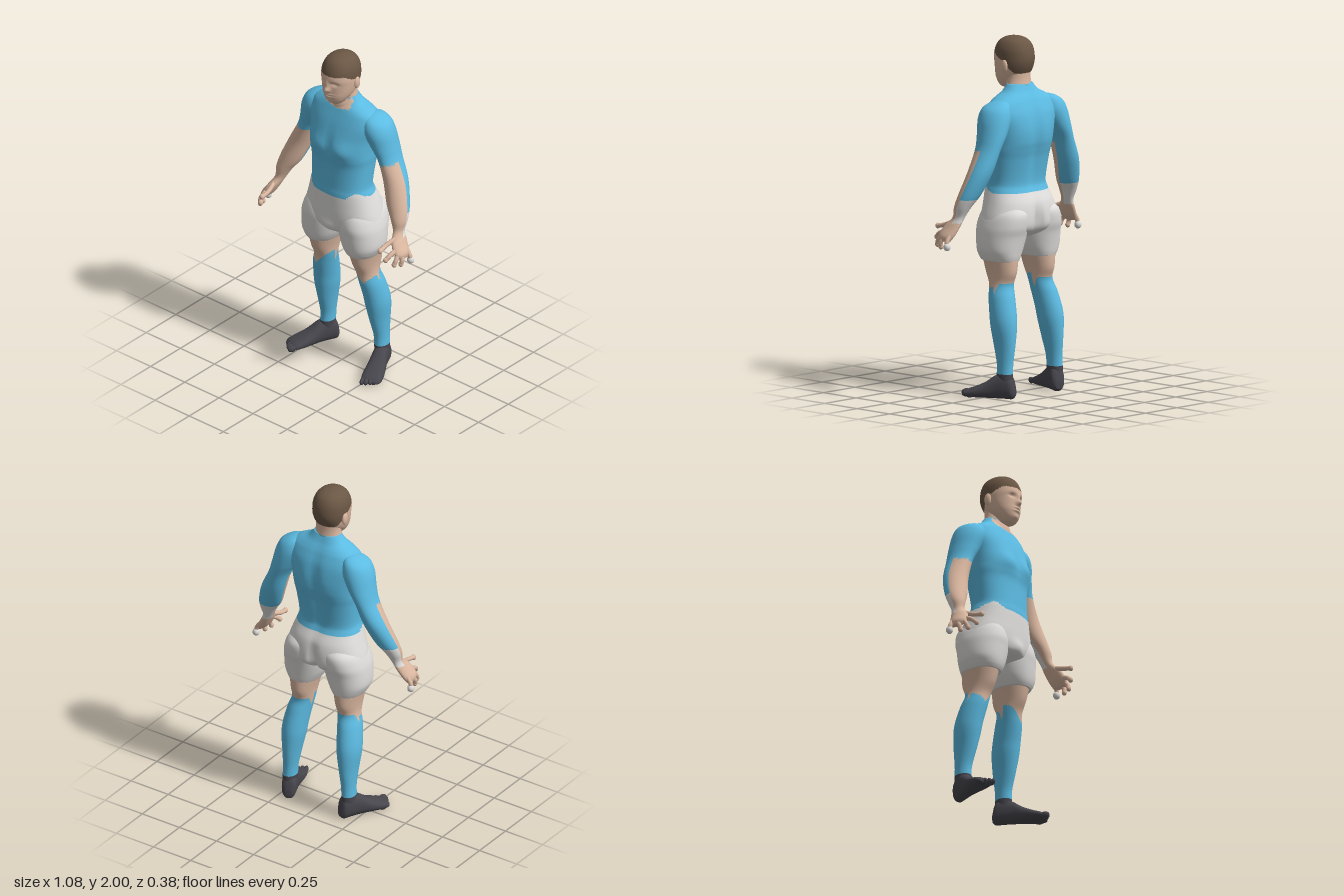
import * as THREE from 'three';

const material = (name, color) => Object.assign(new THREE.MeshStandardMaterial({ color }), { name });
const blue = material('sky blue kit', 0x5cbbe2);
const white = material('white shorts', 0xdedddb);
const skin = material('skin', 0xdab7a0);
const brown = material('brown hair', 0x6b5745);
const dark = material('dark boots', 0x47464d);

const bump = (v, centre, width) => Math.exp(-(((v - centre) / width) ** 2));

// Catmull-Rom blend of the cross-section rows
function blend(rows, t) {
  const i = Math.min(Math.floor(t), rows.length - 2), u = t - i;
  const at = k => rows[Math.max(0, Math.min(rows.length - 1, k))];
  const [p, q, r, s] = [at(i - 1), at(i), at(i + 1), at(i + 2)];
  return q.map((b, k) => b + 0.5 * u * (r[k] - p[k] + u * (2 * p[k] - 5 * b + 4 * r[k] - s[k]
    + u * (3 * (b - r[k]) + s[k] - p[k]))));
}

// Closed loft through rows [y, centreX, halfWidth, frontZ, backZ], listed from the top down.
// paint(x, y, z, front) picks a material for each face; shape(x, y, z) returns a shift in z.
function loft(name, rows, mats, { paint = () => 0, shape = () => 0, side = 1, power = 2, steps = 6, segs = 48 } = {}) {
  const pos = [], rings = (rows.length - 1) * steps, buckets = mats.map(() => []);
  const soft = v => Math.sign(v) * Math.abs(v) ** (2 / power);
  for (let i = 0; i <= rings; i++) {
    const [y, cx, w, f, b] = blend(rows, i / steps);
    for (let j = 0; j < segs; j++) {
      const a = j / segs * Math.PI * 2;
      const x = cx + w * soft(Math.cos(a)), z = (f + b) / 2 + (f - b) / 2 * soft(Math.sin(a));
      pos.push(side * x, y, z + shape(x, y, z));
    }
  }
  for (const row of [rows[0], rows[rows.length - 1]]) pos.push(side * row[1], row[0], (row[3] + row[4]) / 2);
  const face = (a, b, c, j) => {
    const mid = k => (pos[a * 3 + k] + pos[b * 3 + k] + pos[c * 3 + k]) / 3;
    const m = paint(side * mid(0), mid(1), mid(2), Math.sin((j + 0.5) / segs * Math.PI * 2));
    buckets[m].push(...(side > 0 ? [a, b, c] : [a, c, b]));
  };
  const top = (rings + 1) * segs;
  for (let j = 0; j < segs; j++) {
    const k = (j + 1) % segs, last = rings * segs;
    face(top, k, j, j);
    face(top + 1, last + j, last + k, j);
    for (let i = 0; i < last; i += segs) {
      face(i + j, i + k, i + segs + j, j);
      face(i + k, i + segs + k, i + segs + j, j);
    }
  }
  const geo = new THREE.BufferGeometry();
  geo.setAttribute('position', new THREE.Float32BufferAttribute(pos, 3));
  geo.setIndex(buckets.flat());
  let start = 0;
  buckets.forEach((list, m) => { geo.addGroup(start, list.length, m); start += list.length; });
  geo.computeVertexNormals();
  const mesh = new THREE.Mesh(geo, mats);
  mesh.name = name;
  return mesh;
}

function ball(name, mat, p, s) {
  const mesh = new THREE.Mesh(new THREE.SphereGeometry(1, 16, 12), mat);
  mesh.position.set(...p);
  mesh.scale.set(...s);
  mesh.name = name;
  return mesh;
}

function buildTorso() {
  const rows = [
    [1.74, 0, 0.08, 0.02, -0.085], [1.70, 0, 0.115, 0.035, -0.105], [1.67, 0, 0.175, 0.05, -0.125],
    [1.64, 0, 0.215, 0.063, -0.142], [1.58, 0, 0.23, 0.088, -0.167], [1.50, 0, 0.212, 0.115, -0.182],
    [1.43, 0, 0.203, 0.13, -0.18], [1.38, 0, 0.2, 0.128, -0.168], [1.32, 0, 0.192, 0.12, -0.152],
    [1.20, 0, 0.183, 0.123, -0.132], [1.15, 0, 0.193, 0.128, -0.14], [1.08, 0, 0.215, 0.13, -0.174],
    [1.00, 0, 0.24, 0.13, -0.187], [0.94, 0, 0.247, 0.122, -0.178], [0.90, 0, 0.18, 0.1, -0.13],
    [0.87, 0, 0.05, 0.03, -0.05]];
  return loft('torso', rows, [blue, white, skin], {
    power: 2.35, segs: 72,
    paint: (x, y, z) => {
      if (y < 1.14 + (z > 0 ? 0.035 * bump(Math.abs(x), 0.16, 0.03) : 0)) return 1;
      return y > 1.665 + 0.15 * Math.abs(x) && Math.abs(x) < 0.085 && z > 0 ? 2 : 0;
    },
    // chest, groin, spine groove and seat
    shape: (x, y, z) => z > 0
      ? 0.013 * bump(Math.abs(x), 0.09, 0.06) * bump(y, 1.44, 0.05) - 0.008 * bump(x, 0, 0.02) * bump(y, 1.45, 0.1)
        + 0.018 * bump(x, 0, 0.045) * bump(y, 0.93, 0.04)
      : 0.022 * bump(x, 0, 0.035) * bump(y, 1.4, 0.22) + 0.04 * bump(x, 0, 0.022) * bump(y, 0.96, 0.09),
  });
}

function buildHead() {
  const head = new THREE.Group();
  head.name = 'head';
  const skull = [
    [2.0, 0, 0.008, 0.018, -0.008], [1.992, 0, 0.045, 0.058, -0.048], [1.97, 0, 0.076, 0.094, -0.084],
    [1.93, 0, 0.095, 0.118, -0.105], [1.88, 0, 0.1, 0.128, -0.112], [1.84, 0, 0.098, 0.122, -0.105],
    [1.80, 0, 0.091, 0.12, -0.086], [1.77, 0, 0.081, 0.118, -0.06], [1.74, 0, 0.064, 0.109, -0.02],
    [1.715, 0, 0.042, 0.092, 0.01], [1.705, 0, 0.015, 0.07, 0.035]];
  head.add(loft('skull and face', skull, [skin, brown], {
    segs: 96, steps: 9, power: 2.15,
    paint: (x, y, z) => +(y > (z > 0.01 ? 1.87 + 0.035 * Math.min(1, (z - 0.01) / 0.07) : Math.max(1.8, 1.87 + 1.2 * z))),
    // nose, eye sockets, lips and chin
    shape: (x, y, z) => z < 0.04 ? 0
      : 0.026 * bump(x, 0, 0.016) * bump(y, 1.818, 0.018) + 0.012 * bump(x, 0, 0.012) * bump(y, 1.85, 0.02)
        - 0.012 * bump(Math.abs(x), 0.04, 0.02) * bump(y, 1.857, 0.012)
        + 0.007 * bump(x, 0, 0.028) * (bump(y, 1.788, 0.006) + bump(y, 1.771, 0.006))
        + 0.006 * bump(x, 0, 0.025) * bump(y, 1.738, 0.014),
  }));
  head.add(loft('neck', [
    [1.82, 0, 0.075, 0.03, -0.085], [1.77, 0, 0.074, 0.035, -0.084], [1.73, 0, 0.08, 0.036, -0.088],
    [1.69, 0, 0.09, 0.048, -0.095], [1.62, 0, 0.1, 0.055, -0.1]], [skin, blue],
  { paint: (x, y, z) => +(y < 1.735 && z < 0.015) }));
  for (const s of [1, -1]) head.add(ball('ear', skin, [s * 0.1, 1.84, -0.012], [0.012, 0.036, 0.022]));
  return head;
}

function buildLeg(side) {
  const leg = new THREE.Group();
  leg.name = side > 0 ? 'leftLeg' : 'rightLeg';
  leg.add(loft('shorts leg', [
    [1.08, 0.11, 0.06, 0.06, -0.13], [1.03, 0.12, 0.105, 0.105, -0.18], [0.96, 0.131, 0.121, 0.124, -0.183],
    [0.90, 0.135, 0.126, 0.12, -0.167], [0.83, 0.144, 0.118, 0.112, -0.154], [0.79, 0.146, 0.102, 0.103, -0.147],
    [0.765, 0.146, 0.088, 0.09, -0.14]], [white], { side, power: 2.2 }));
  leg.add(loft('thigh and sock', [
    [0.80, 0.146, 0.088, 0.09, -0.142], [0.70, 0.149, 0.068, 0.064, -0.138], [0.63, 0.153, 0.063, 0.032, -0.116],
    [0.56, 0.168, 0.067, 0.021, -0.138], [0.47, 0.181, 0.068, 0.002, -0.163], [0.40, 0.186, 0.065, -0.01, -0.172],
    [0.30, 0.19, 0.05, -0.032, -0.17], [0.20, 0.195, 0.04, -0.058, -0.161], [0.13, 0.198, 0.039, -0.06, -0.161],
    [0.08, 0.198, 0.039, -0.06, -0.161]], [skin, blue, dark], {
    side,
    paint: (x, y, z, front) => y < 0.14 ? 2 : +(y < (front > 0 ? 0.575 + Math.abs(x - 0.175) : 0.64 - 0.05 * bump(front, 0, 0.3))),
  }));
  // The foot is lofted from toe to heel, then laid down and turned outward
  const foot = new THREE.Group();
  foot.name = 'boot';
  const sole = loft('boot body', [
    [0.25, 0, 0.035, -0.008, -0.026], [0.23, 0, 0.056, -0.002, -0.043], [0.18, 0, 0.06, 0, -0.062],
    [0.12, 0, 0.053, 0, -0.09], [0.06, 0, 0.045, 0, -0.13], [0, 0, 0.043, 0, -0.145],
    [-0.035, 0, 0.038, 0, -0.12], [-0.052, 0, 0.018, -0.015, -0.06]], [dark], { power: 2.3 });
  sole.geometry.rotateX(Math.PI / 2);
  foot.add(sole);
  for (let i = 0; i < 5; i++) {
    foot.add(ball('toe', dark, [side * (-0.044 + i * 0.022), 0.02, 0.25 - i * i * 0.003], [0.013, 0.018, 0.025]));
  }
  foot.position.set(side * 0.195, 0, -0.12);
  foot.rotation.y = side * 0.42;
  leg.add(foot);
  return leg;
}

function buildArm(side) {
  const arm = new THREE.Group();
  arm.name = side > 0 ? 'leftArm' : 'rightArm';
  arm.add(loft('shoulder and arm', [
    [1.662, 0.18, 0.015, -0.04, -0.08], [1.65, 0.19, 0.045, 0, -0.115], [1.62, 0.208, 0.075, 0.03, -0.14],
    [1.565, 0.224, 0.086, 0.042, -0.155], [1.48, 0.256, 0.073, 0.025, -0.158], [1.40, 0.292, 0.06, 0.01, -0.15],
    [1.28, 0.342, 0.069, 0.012, -0.132], [1.16, 0.388, 0.067, 0.035, -0.088], [1.09, 0.418, 0.049, 0.048, -0.05],
    [1.03, 0.432, 0.03, 0.055, -0.02], [0.98, 0.456, 0.03, 0.098, -0.01], [0.93, 0.485, 0.031, 0.112, 0.005],
    [0.90, 0.5, 0.016, 0.095, 0.02]], [blue, skin, white], {
    side,
    paint: (x, y, z, front) => {
      if (front > 0.05) return y > 1.385 + 0.15 * (x - 0.29) ? 0 : 1;
      return y > 1.13 ? 0 : y > 1.0 ? 2 : 1;
    },
  }));
  // Thumb and fingers: bent tubes with rounded tips
  const fingers = [
    ['thumb', [0.445, 1.0, 0.06], [0.43, 0.975, 0.13], [0.432, 0.965, 0.178]],
    ['index finger', [0.475, 0.95, 0.09], [0.468, 0.93, 0.135], [0.458, 0.908, 0.16]],
    ['middle finger', [0.488, 0.935, 0.085], [0.495, 0.9, 0.115], [0.49, 0.875, 0.125]],
    ['ring finger', [0.495, 0.93, 0.06], [0.51, 0.893, 0.08], [0.505, 0.867, 0.085]],
    ['little finger', [0.495, 0.935, 0.025], [0.518, 0.9, 0.025], [0.521, 0.873, 0.022]]];
  fingers.forEach(([name, ...pts], i) => {
    const curve = new THREE.CatmullRomCurve3(pts.map(([x, y, z]) => new THREE.Vector3(side * x, y, z)));
    const tube = new THREE.Mesh(new THREE.TubeGeometry(curve, 10, 0.013, 10), skin);
    tube.name = name;
    const [x, y, z] = pts[2], r = i === 4 ? 0.02 : 0.014;
    arm.add(tube, ball(name + ' tip', i === 4 ? white : skin, [side * x, y, z], [r, r * 1.15, r]));
  });
  return arm;
}

export function createModel() {
  const model = new THREE.Group();
  model.name = 'sportsPlayer';
  model.add(buildTorso(), buildHead());
  for (const side of [1, -1]) model.add(buildLeg(side), buildArm(side));
  return model;
}
